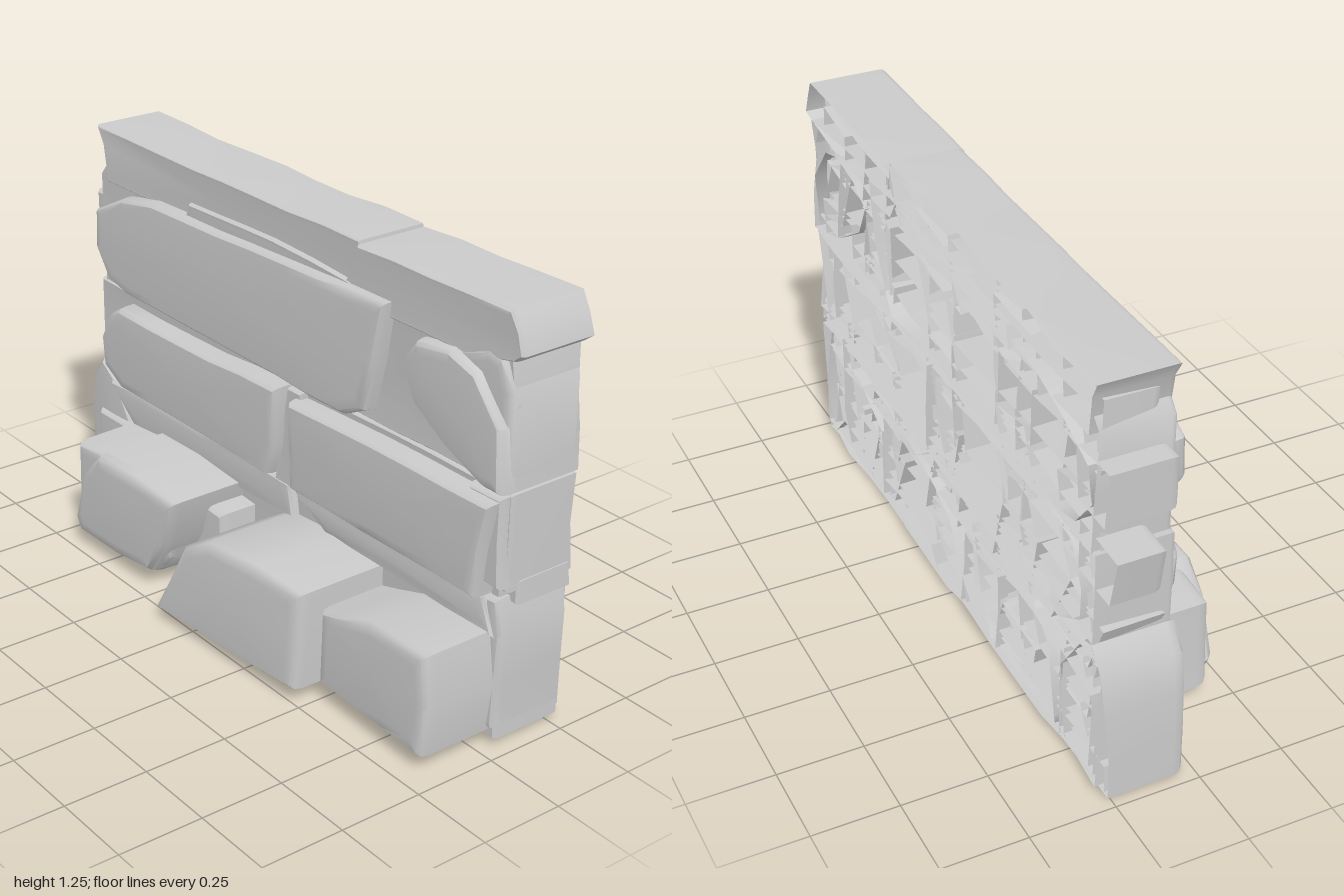
import * as THREE from 'three';
import { toCreasedNormals } from 'three/addons/utils/BufferGeometryUtils.js';

const stoneGrey = new THREE.MeshStandardMaterial({ color: 0xcacaca, side: THREE.DoubleSide });
stoneGrey.name = 'stone grey';

let seed = 7;
const rand = () => (seed = (seed * 16807) % 2147483647) / 2147483647;
const jit = (a) => (rand() * 2 - 1) * a;

// Rough stone: an outline lofted from an open back to a softly rounded front.
// flare widens the back, leanX and leanY tilt the front face.
function stone(name, corners, front, { back = -0.268, flare = 0, round = 0.03, leanX = 0, leanY = 0 } = {}) {
  const pts = corners.map(([x, y]) => new THREE.Vector2(x, y));
  if (THREE.ShapeUtils.isClockWise(pts)) pts.reverse();
  // Split long edges so that they can wander a little
  const line = [];
  pts.forEach((p, i) => {
    const q = pts[(i + 1) % pts.length];
    const n = Math.max(1, Math.round(p.distanceTo(q) / 0.16));
    for (let k = 0; k < n; k++) {
      const s = p.clone().lerp(q, k / n);
      if (k) s.add(new THREE.Vector2(jit(0.004), jit(0.004)));
      line.push(s);
    }
  });
  const box = new THREE.Box2().setFromPoints(line);
  const c = box.getCenter(new THREE.Vector2());
  const size = box.getSize(new THREE.Vector2());
  const rings = [[back, -flare], [front - round * 1.2, 0], [front - round * 0.5, round * 0.12],
    [front - round * 0.15, round * 0.45], [front - 0.003, round * 1.2]];
  const pos = [], idx = [], n = line.length;
  rings.forEach(([z, inset], r) => line.forEach((p) => {
    const x = c.x + (p.x - c.x) * (1 - (2 * inset) / size.x);
    const y = c.y + (p.y - c.y) * (1 - (2 * inset) / size.y);
    const tilt = r ? leanX * (x - c.x) + leanY * (y - c.y) : jit(0.011);
    pos.push(x, y, z + tilt);
  }));
  pos.push(c.x, c.y, front);
  for (let j = 0; j < n; j++) {
    const k = (j + 1) % n;
    for (let r = 0; r < rings.length - 1; r++) {
      const a = r * n + j, b = r * n + k;
      idx.push(a, b, b + n, a, b + n, a + n);
    }
    const last = (rings.length - 1) * n;
    idx.push(last + j, last + k, rings.length * n);
  }
  const geo = new THREE.BufferGeometry();
  geo.setAttribute('position', new THREE.Float32BufferAttribute(pos, 3));
  geo.setIndex(idx);
  const mesh = new THREE.Mesh(toCreasedNormals(geo, 0.75), stoneGrey);
  mesh.name = name;
  return mesh;
}

// Four-cornered outline with slightly uneven corners
const block = (x0, x1, y0, y1, j = 0.006) =>
  [[x0, y0], [x1, y0], [x1, y1], [x0, y1]].map(([x, y]) => [x + jit(j), y + jit(j)]);

export function createModel() {
  const model = new THREE.Group();
  model.name = 'stoneWall';
  const add = (...args) => model.add(stone(...args));
  const flat = { round: 0.014 };

  // Set-back courses behind the face stones
  add('topCourseLeft', [[-0.85, 1.08], [-0.87, 1.2], [-0.9, 1.25], [-0.4, 1.245], [0.36, 1.25], [0.37, 1.18], [0.34, 1.1]], -0.045, flat);
  add('topCourseRight', [[0.3, 1.08], [0.36, 1.24], [0.95, 1.25], [0.98, 1.2], [0.995, 1.14], [0.97, 1.12], [0.8, 1.08]], -0.033, flat);
  add('topInfill', [[-0.42, 1.08], [-0.4, 1.14], [0.0, 1.15], [0.34, 1.13], [0.36, 1.08]], -0.03, flat);
  add('upperBacking', [[-0.88, 0.75], [-0.89, 1.1], [-0.84, 1.16], [0.95, 1.13], [0.97, 1.0], [0.97, 0.76]], -0.048, flat);
  add('middleBacking', block(-0.9, 0.97, 0.47, 0.76), -0.045, flat);
  add('middleInfill', [[0.03, 0.43], [0.09, 0.74], [0.15, 0.74], [0.14, 0.43]], -0.02, flat);
  add('lowCourseLeft', [[-0.84, 0.43], [-0.7, 0.3], [0.12, 0.33], [0.1, 0.44], [-0.5, 0.45]], -0.02);
  add('lowCourseRight', [[0.1, 0.44], [0.25, 0.34], [0.95, 0.33], [0.91, 0.45], [0.5, 0.44]], -0.025);
  add('bottomBacking', block(-0.93, 0.96, 0.025, 0.42), -0.045, flat);

  // Face stones of the two main courses
  add('longUpperStone', [[-0.86, 0.88], [-0.86, 1.0], [-0.72, 1.07], [-0.56, 1.1], [0.1, 1.12], [0.51, 1.13],
    [0.48, 0.95], [0.44, 0.8], [0.36, 0.76], [-0.7, 0.77], [-0.79, 0.79]], 0.003, { leanY: -0.03 });
  add('roundedUpperStone', [[0.58, 1.0], [0.63, 1.07], [0.76, 1.09], [0.86, 1.06], [0.96, 0.94], [0.97, 0.76],
    [0.91, 0.76], [0.76, 0.82], [0.63, 0.9]], -0.002);
  add('upperCornerStone', [[0.76, 1.09], [0.88, 1.13], [0.93, 1.12], [0.97, 1.03], [0.97, 0.8], [0.8, 0.8]], -0.03);
  add('middleLeftStone', [[-0.81, 0.5], [-0.82, 0.6], [-0.77, 0.69], [-0.72, 0.72], [-0.4, 0.72], [0.08, 0.74],
    [0.07, 0.55], [0.03, 0.45], [-0.72, 0.45]], 0.02, { flare: 0.006 });
  add('middleRightStone', [[0.13, 0.72], [0.5, 0.735], [0.96, 0.74], [0.93, 0.6], [0.91, 0.45], [0.14, 0.45]], 0.02, { flare: 0.003 });

  // Stones closing the two ends of the wall
  add('leftUpperEnd', block(-0.95, -0.8, 0.87, 1.03), -0.07, { round: 0.02 });
  add('leftMiddleEnd', [[-0.97, 0.65], [-0.995, 0.79], [-0.8, 0.8], [-0.8, 0.65]], -0.12, { round: 0.02 });
  add('leftLowEnd', [[-0.97, 0.01], [-0.965, 0.3], [-0.95, 0.41], [-0.9, 0.48], [-0.82, 0.43], [-0.72, 0.28], [-0.7, 0.02]], -0.03);
  add('leftLowPatch', block(-0.9, -0.7, 0.04, 0.31), -0.012);
  add('rightMiddleEnd', block(0.84, 0.97, 0.49, 0.75), -0.015, { round: 0.02 });
  add('rightLowEnd', [[0.8, 0.04], [0.955, 0.05], [0.97, 0.35], [0.95, 0.45], [0.8, 0.44]], -0.035);
  add('rightStripEnd', block(0.78, 0.975, 0.43, 0.5), -0.08, flat);

  // Projecting stones along the foot
  add('footLeftBase', [[-0.72, 0.04], [-0.71, 0.32], [-0.5, 0.34], [-0.2, 0.33], [-0.22, 0.12], [-0.3, 0.04]], 0.185, { flare: 0.01 });
  add('footLeftFiller', block(-0.33, -0.09, 0.035, 0.29), 0.08);
  add('footLeftStone', [[-0.68, 0.08], [-0.62, 0.27], [-0.54, 0.35], [-0.35, 0.355], [-0.15, 0.34], [-0.19, 0.19],
    [-0.28, 0.06], [-0.45, 0.04], [-0.66, 0.04]], 0.222, { flare: 0.01, round: 0.035, leanX: -0.02 });
  add('footMiddleStone', [[-0.14, 0.03], [-0.08, 0.15], [-0.02, 0.28], [0.09, 0.34], [0.3, 0.355], [0.49, 0.345],
    [0.49, 0.2], [0.48, 0.045], [0.2, 0.035]], 0.27, { round: 0.035, leanX: -0.05, leanY: -0.06 });
  add('footRightStone', [[0.49, 0.05], [0.49, 0.28], [0.56, 0.3], [0.7, 0.345], [0.93, 0.35], [0.95, 0.2],
    [0.93, 0.045]], 0.188, { round: 0.035, leanX: 0.03, leanY: -0.03 });
  add('undersideLeft', block(-0.95, -0.1, 0.017, 0.1), -0.05, flat);
  add('undersideRight', [[0.1, 0.02], [0.2, 0.003], [0.78, 0.02], [0.9, 0.04], [0.85, 0.1], [0.12, 0.1]], -0.04);

  // Long overlapping hollow stones with slanted ends, seen from the open back
  [[0.04, 0.2], [0.14, 0.36], [0.3, 0.5], [0.42, 0.66], [0.54, 0.76], [0.72, 0.9], [0.8, 1.07], [1.0, 1.2]]
    .forEach(([y0, y1], row) => {
      [[-0.86, -0.3], [-0.45, 0.15], [-0.05, 0.6], [0.42, 0.93]].forEach(([x0, x1], i) => {
        const outline = block(x0 + jit(0.02), x1 + jit(0.02), y0, y1, 0.02);
        const slant = jit(0.05);
        outline[1][0] -= Math.abs(slant);
        outline[3][0] += Math.abs(slant);
        add(`innerCourse${row + 1}_${i + 1}`, outline, -0.065 + jit(0.012), { back: -0.25, round: 0.015 });
      });
    });

  // Small wedged stones gathered at the ends and the joints
  [-0.78, -0.42, 0.06, 0.5, 0.82].forEach((x, i) => {
    for (let row = 0; row < 7; row++) {
      const y = 0.13 + row * 0.16, w = 0.06 + rand() * 0.04, h = 0.07 + rand() * 0.04, tx = jit(0.04), ty = jit(0.03);
      add(`wedge${i + 1}_${row + 1}`, [[x - w - tx, y - h], [x + w - tx, y - h + ty], [x + w + tx, y + h], [x - w + tx, y + h - ty]],
        -0.08 + jit(0.02), { back: -0.255, flare: 0.01, round: 0.02, leanX: jit(0.3), leanY: jit(0.3) });
    }
  });
  return model;
}
